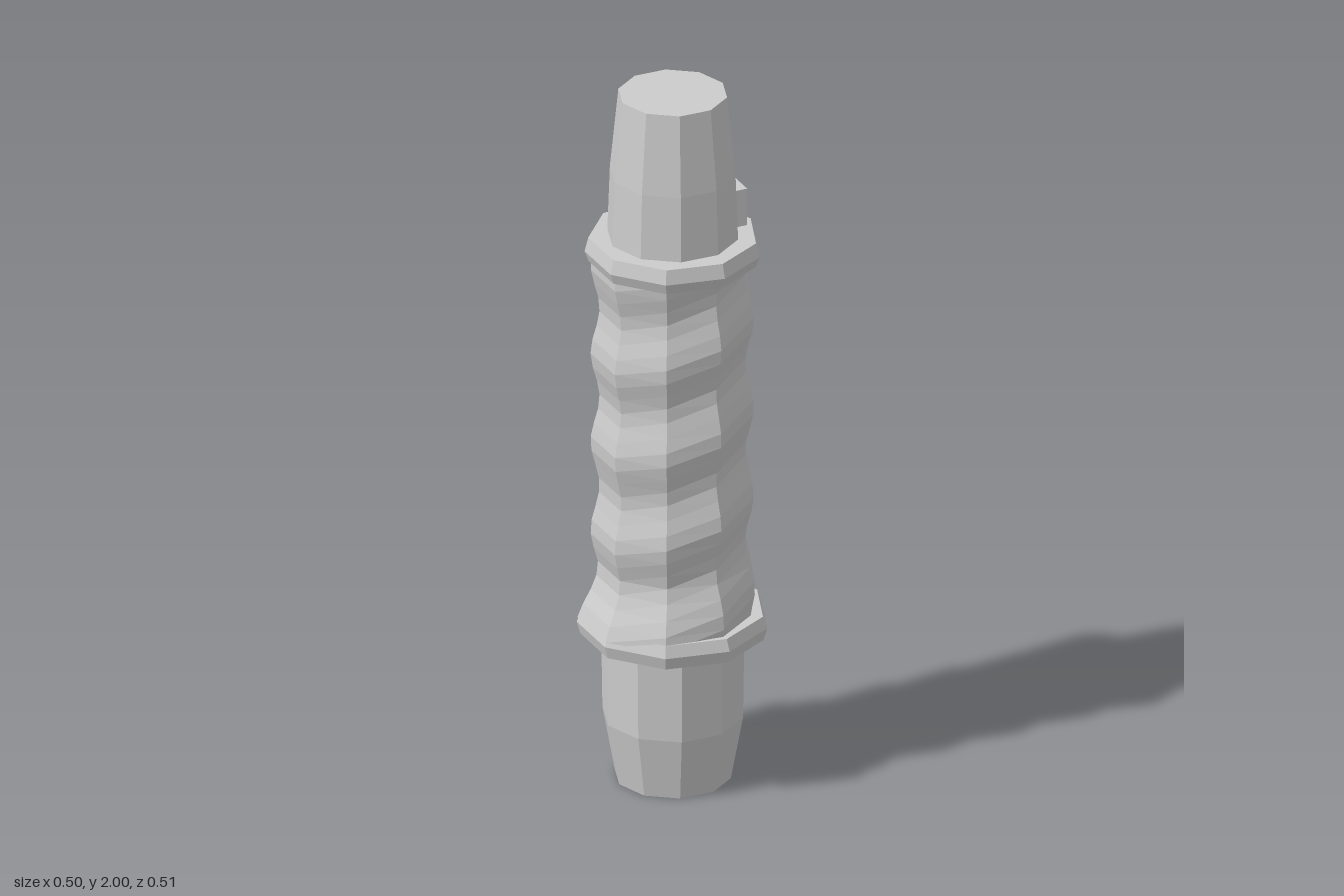
import * as THREE from 'three';

// Flat-sided loft: profile is a list of [y, radius]; shape(y, r, x) may alter the radius around the ring
function loft(profile, sides, cx, shape = (y, r) => r) {
  const pos = [], idx = [], n = sides;
  for (const [y, r] of profile) {
    for (let i = 0; i < n; i++) {
      const a = (i / n) * Math.PI * 2;
      const rr = shape(y, r, Math.cos(a));
      pos.push(cx + rr * Math.cos(a), y, rr * Math.sin(a));
    }
  }
  for (let j = 0; j < profile.length - 1; j++) {
    for (let i = 0; i < n; i++) {
      const a = j * n + i, b = j * n + (i + 1) % n;
      idx.push(a, a + n, b, b, a + n, b + n);
    }
  }
  // end caps
  const last = profile.length - 1;
  const bottom = pos.length / 3;
  pos.push(cx, profile[0][0], 0, cx, profile[last][0], 0);
  for (let i = 0; i < n; i++) {
    const k = (i + 1) % n;
    idx.push(bottom, i, k, bottom + 1, last * n + k, last * n + i);
  }
  const g = new THREE.BufferGeometry();
  g.setAttribute('position', new THREE.Float32BufferAttribute(pos, 3));
  g.setIndex(idx);
  const flat = g.toNonIndexed();
  flat.computeVertexNormals();
  return flat;
}

export function createModel() {
  const model = new THREE.Group();
  model.name = 'handle';
  const grey = new THREE.MeshStandardMaterial({ color: 0xcccccc });
  grey.name = 'light grey';

  const add = (name, geometry) => {
    const mesh = new THREE.Mesh(geometry, grey);
    mesh.name = name;
    model.add(mesh);
    return mesh;
  };

  // ten-sided tapered ends
  add('lowerEnd', loft([[0, 0.157], [0.18, 0.19], [0.44, 0.194]], 10, -0.01));
  add('upperEnd', loft([[1.55, 0.178], [1.77, 0.17], [2, 0.147]], 10, -0.01));

  // nine-sided grip with slanted finger waves, flared towards the bottom
  const rows = [];
  for (let i = 0; i <= 26; i++) rows.push([0.47 + i * (1.06 / 26), 0.209]);
  add('grip', loft(rows, 9, -0.008, (y, r, c) => {
    const wave = 0.012 * Math.cos(((y - 1.31 - 0.068 * c) / 0.26) * Math.PI * 2);
    const flare = Math.max(0, (0.63 - y) / 0.16) * (0.022 - 0.014 * c);
    return r + wave + flare;
  }));

  // collars at both ends of the grip
  add('lowerCollar', loft([[0.422, 0.248], [0.457, 0.258], [0.49, 0.246]], 9, -0.008));
  add('upperCollar', loft([[1.515, 0.226], [1.545, 0.237], [1.585, 0.227]], 9, -0.008));

  // small side switch
  const block = add('switchBlock', new THREE.BoxGeometry(0.13, 0.107, 0.17));
  block.position.set(0.125, 1.642, -0.045);

  return model;
}
